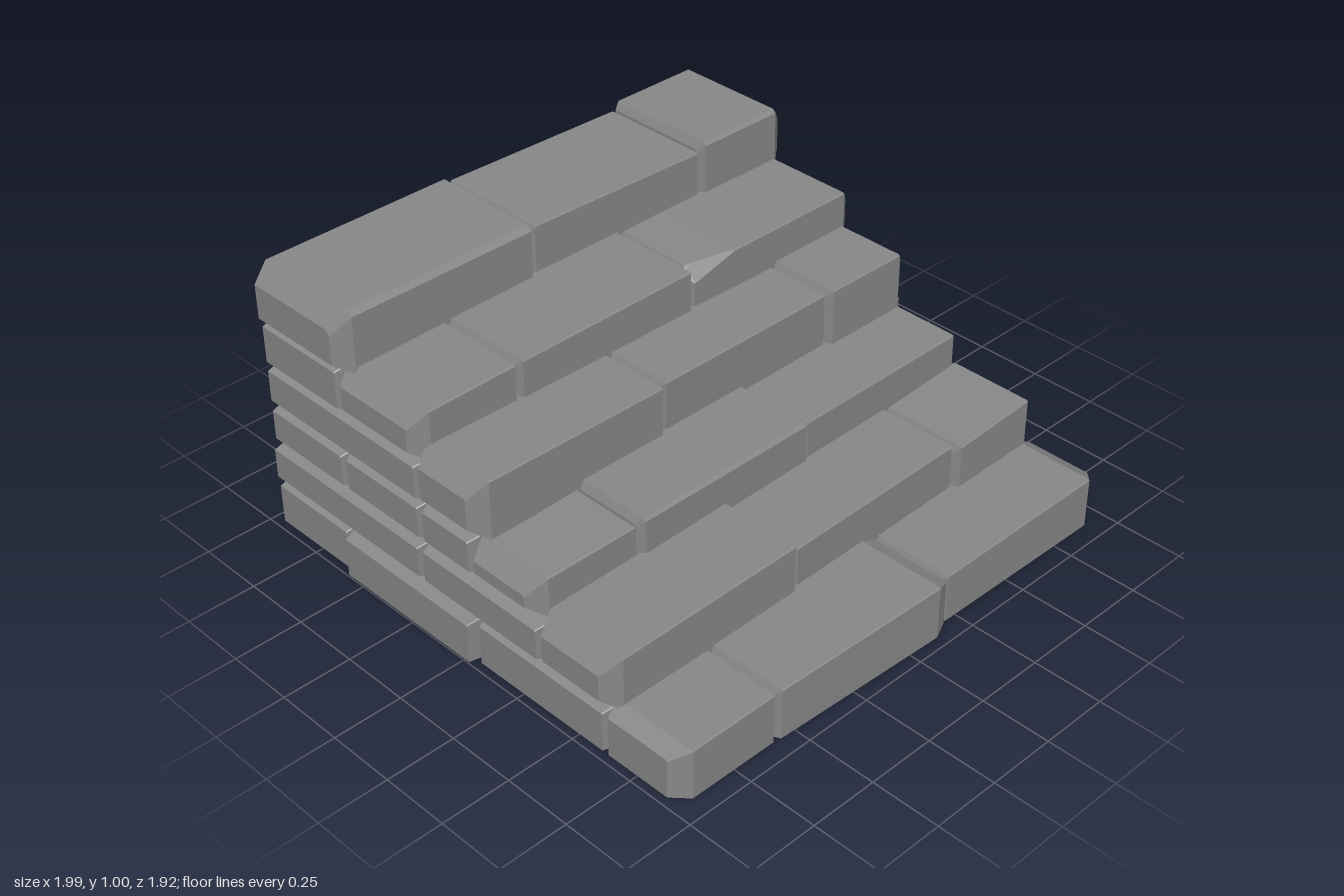
import * as THREE from 'three';

const BACK = -0.96;

// Cross-section of a block at x: back to front along the floor, up, small chipped edge, back along the top
function section(x, y0, y1, zb, zf, c) {
  return [[x, y0, zb], [x, y0, zf], [x, y1 - c, zf], [x, y1, zf - c], [x, y1, zb]];
}

// Skin a row of cross-sections (ordered by rising x) and close both ends
function loft(sections) {
  const pos = [];
  const tri = (a, b, c) => pos.push(...a, ...b, ...c);
  const n = sections[0].length;
  for (let s = 0; s < sections.length - 1; s++) {
    const p = sections[s], q = sections[s + 1];
    for (let i = 0; i < n; i++) {
      const j = (i + 1) % n;
      tri(p[i], q[i], q[j]);
      tri(p[i], q[j], p[j]);
    }
  }
  const first = sections[0], last = sections[sections.length - 1];
  for (let i = 1; i < n - 1; i++) {
    tri(first[0], first[i], first[i + 1]);
    tri(last[0], last[i + 1], last[i]);
  }
  const geo = new THREE.BufferGeometry();
  geo.setAttribute('position', new THREE.Float32BufferAttribute(pos, 3));
  geo.computeVertexNormals();
  return geo;
}

// Each course: base height, height behind the step, depth of its step bricks, the
// z positions of joints behind them, x joints, outer ends, and per brick
// [top left, top right, front z left, front z right, edge bevel]
const COURSES = [
  { y0: 0, y1: 0.16, zb: 0.615, rear: [0.035, -0.595], joints: [-0.57, 0.19], ends: [-0.97, 0.98],
    bricks: [[0.185, 0.185, 0.93, 0.93, 0.005], [0.19, 0.2, 0.935, 0.96, 0.005], [0.18, 0.19, 0.925, 0.93, 0.005]] },
  { y0: 0.165, y1: 0.31, zb: 0.335, rear: [-0.215], joints: [-0.19, 0.565], ends: [-0.975, 0.985],
    bricks: [[0.36, 0.37, 0.65, 0.65, 0.005], [0.34, 0.35, 0.635, 0.63, 0.005], [0.345, 0.365, 0.65, 0.65, 0.005]] },
  { y0: 0.315, y1: 0.46, zb: 0.025, rear: [-0.215, -0.59], joints: [-0.56, 0.18], ends: [-0.965, 0.985],
    bricks: [[0.46, 0.47, 0.32, 0.33, 0.005], [0.495, 0.49, 0.35, 0.345, 0.01], [0.47, 0.47, 0.325, 0.32, 0.005]] },
  { y0: 0.465, y1: 0.615, zb: -0.215, rear: [], joints: [-0.19, 0.57], ends: [-0.965, 0.98],
    bricks: [[0.68, 0.67, 0.07, 0.07, 0.005], [0.67, 0.665, 0.055, 0.05, 0.005], [0.68, 0.68, 0.07, 0.07, 0.005]] },
  { y0: 0.615, y1: 0.785, zb: -0.58, rear: [], joints: [-0.56, 0.19], ends: [-0.965, 0.985],
    bricks: [[0.8, 0.805, -0.195, -0.195, 0.005], [0.81, 0.815, -0.19, -0.19, 0.005], [0.805, 0.81, -0.2, -0.195, 0.005]] },
  { y0: 0.775, y1: 1, zb: BACK, rear: null, joints: [-0.19, 0.565], ends: [-0.975, 0.99],
    bricks: [[1, 1, -0.53, -0.53, 0.018], [0.985, 0.97, -0.545, -0.54, 0.005], [1, 1, -0.53, -0.53, 0.012]] },
];

export function createModel() {
  const group = new THREE.Group();
  group.name = 'stoneSteps';
  const stone = new THREE.MeshStandardMaterial({ color: 0x888888, flatShading: true });
  stone.name = 'grey stone';

  const add = (name, parent, sections) => {
    const mesh = new THREE.Mesh(loft(sections), stone);
    mesh.name = name;
    parent.add(mesh);
  };

  COURSES.forEach((c, row) => {
    const course = new THREE.Group();
    course.name = `course${row + 1}`;
    group.add(course);
    const [endL, endR] = c.ends;
    const edges = [endL, ...c.joints, endR];
    const under = row === 0 ? 0 : 0.03;
    const backInset = c.rear ? 0.012 : 0;

    // Step bricks: wide bevels on the outer ends, narrow grooves at the joints
    c.bricks.forEach(([tl, tr, fl, fr, bevel], i) => {
      const xa = edges[i], xb = edges[i + 1];
      const end = (x, top, front) => section(x, c.y0 + under, top - (row === 0 ? 0.04 : 0.07),
        c.zb + backInset, front - 0.055, bevel);
      const groove = (x, top, front) => section(x, c.y0, top - 0.03, c.zb, front - 0.03, bevel);
      const wornCorner = row === 0 && i === 1;
      const chipped = row === 4 && i === 2;
      const sections = [
        i === 0 ? end(xa, tl, fl) : groove(xa, tl, fl),
        section(xa + (i === 0 ? 0.05 : 0.014), c.y0, tl, c.zb, fl, chipped ? 0.05 : bevel),
      ];
      if (chipped) sections.push(section(0.38, c.y0, tr, c.zb, fr, bevel));
      sections.push(
        section(xb - (i === 2 ? 0.07 : wornCorner ? 0.065 : 0.014), c.y0, tr, c.zb, fr, bevel),
        i === 2 ? end(xb, tr, fr) : groove(xb, tr, fr),
      );
      add(`stepBrick${i + 1}`, course, sections);
    });

    // Rear blocks run the full width and show their bevelled ends on both sides
    if (c.rear) {
      const cuts = [c.zb, ...c.rear, BACK];
      for (let k = 0; k < cuts.length - 1; k++) {
        const zf = cuts[k], zb = cuts[k + 1];
        const inset = zb === BACK ? 0 : 0.015;
        const cap = (x) => section(x, c.y0 + under * 0.7, c.y1 - 0.015, zb + inset, zf - 0.015, 0.003);
        const bulge = row === 0 && k === 1 ? -0.025 : 0;
        add(`rearBlock${k + 1}`, course, [
          cap(endL + bulge),
          section(-0.925, c.y0, c.y1, zb, zf, 0.003),
          section(0.935, c.y0, c.y1, zb, zf, 0.003),
          cap(endR + 0.005),
        ]);
      }
    }
  });

  return group;
}
